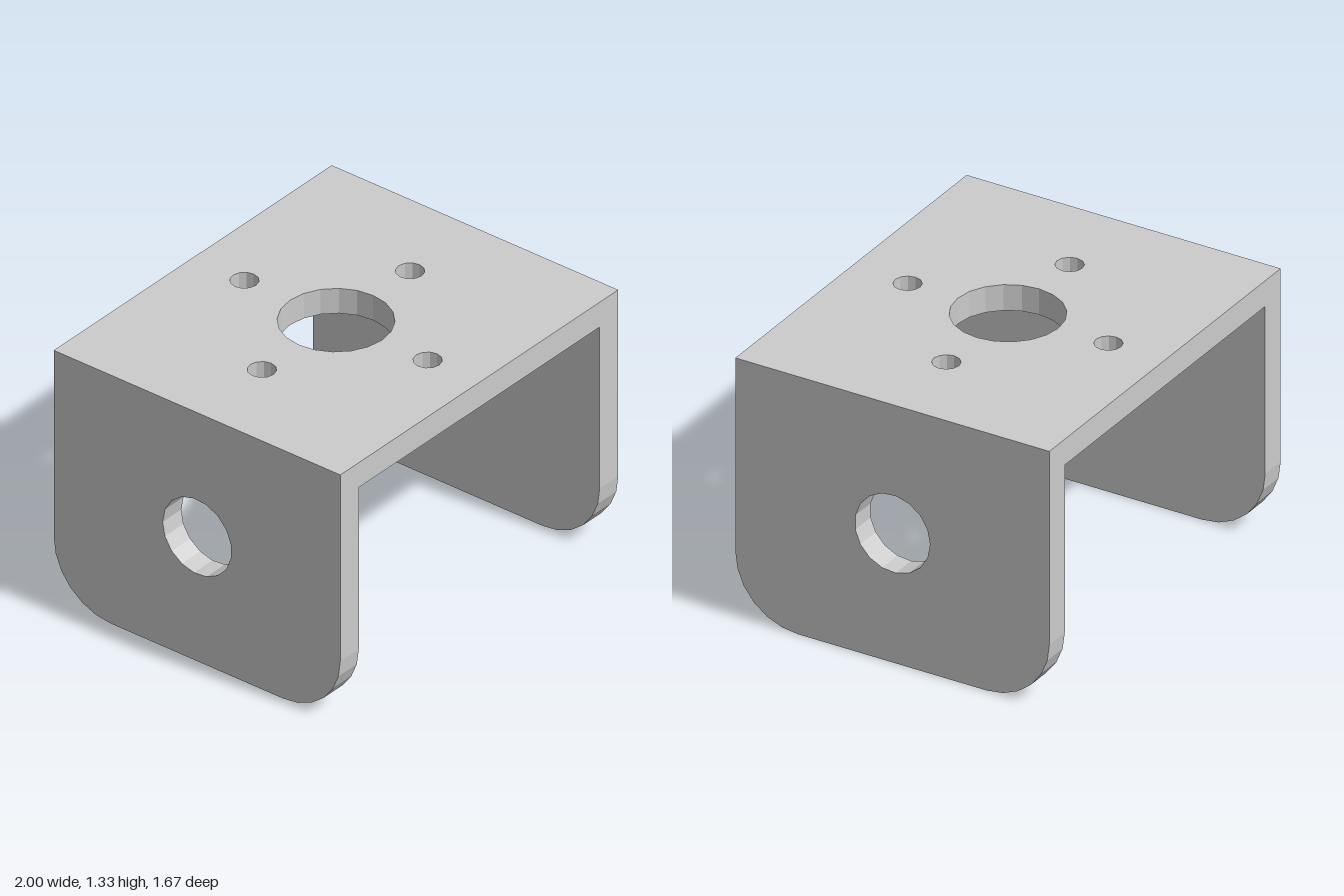
import * as THREE from 'three';

const W = 2, H = 4 / 3, D = 5 / 3, T = 2 / 15; // overall size and plate thickness
const material = new THREE.MeshStandardMaterial({ color: 0xcccccc, flatShading: true });

// Points along an arc, angles in turns
function arc(cx, cy, r, from, to, steps) {
  return Array.from({ length: steps + 1 }, (_, i) => {
    const a = 2 * Math.PI * (from + (to - from) * i / steps);
    return new THREE.Vector2(cx + r * Math.cos(a), cy + r * Math.sin(a));
  });
}

const hole = (cx, cy, r, sides) => new THREE.Path(arc(cx, cy, r, 0, 1, sides).slice(0, -1));

function plate(name, outline, holes) {
  const shape = new THREE.Shape(outline);
  shape.holes.push(...holes);
  const geometry = new THREE.ExtrudeGeometry(shape, { depth: T, bevelEnabled: false });
  const mesh = new THREE.Mesh(geometry, material);
  mesh.name = name;
  return mesh;
}

export function createModel() {
  const bracket = new THREE.Group();
  bracket.name = 'bracket';

  // Top plate: large centre hole ringed by four screw holes
  const topHoles = [hole(0, 0, 0.267, 20)];
  for (let i = 0; i < 4; i++) {
    const a = i * Math.PI / 2;
    topHoles.push(hole(0.533 * Math.cos(a), 0.533 * Math.sin(a), 0.067, 12));
  }
  const x = W / 2, z = D / 2;
  const rectangle = [[-x, -z], [x, -z], [x, z], [-x, z]].map(p => new THREE.Vector2(...p));
  const top = plate('topPlate', rectangle, topHoles);
  top.geometry.rotateX(-Math.PI / 2);
  top.position.y = H - T;
  bracket.add(top);

  // Side plates: rounded lower corners and a pivot hole
  const r = 1 / 3;
  const sideOutline = [
    new THREE.Vector2(z, H - T),
    new THREE.Vector2(-z, H - T),
    ...arc(-z + r, r, r, 0.5, 0.75, 6),
    ...arc(z - r, r, r, 0.75, 1, 6),
  ];
  for (const [name, px] of [['leftSidePlate', x - T], ['rightSidePlate', -x]]) {
    const side = plate(name, sideOutline, [hole(0, 2 / 3, 0.2, 17)]);
    side.geometry.rotateY(Math.PI / 2);
    side.position.x = px;
    bracket.add(side);
  }
  return bracket;
}
